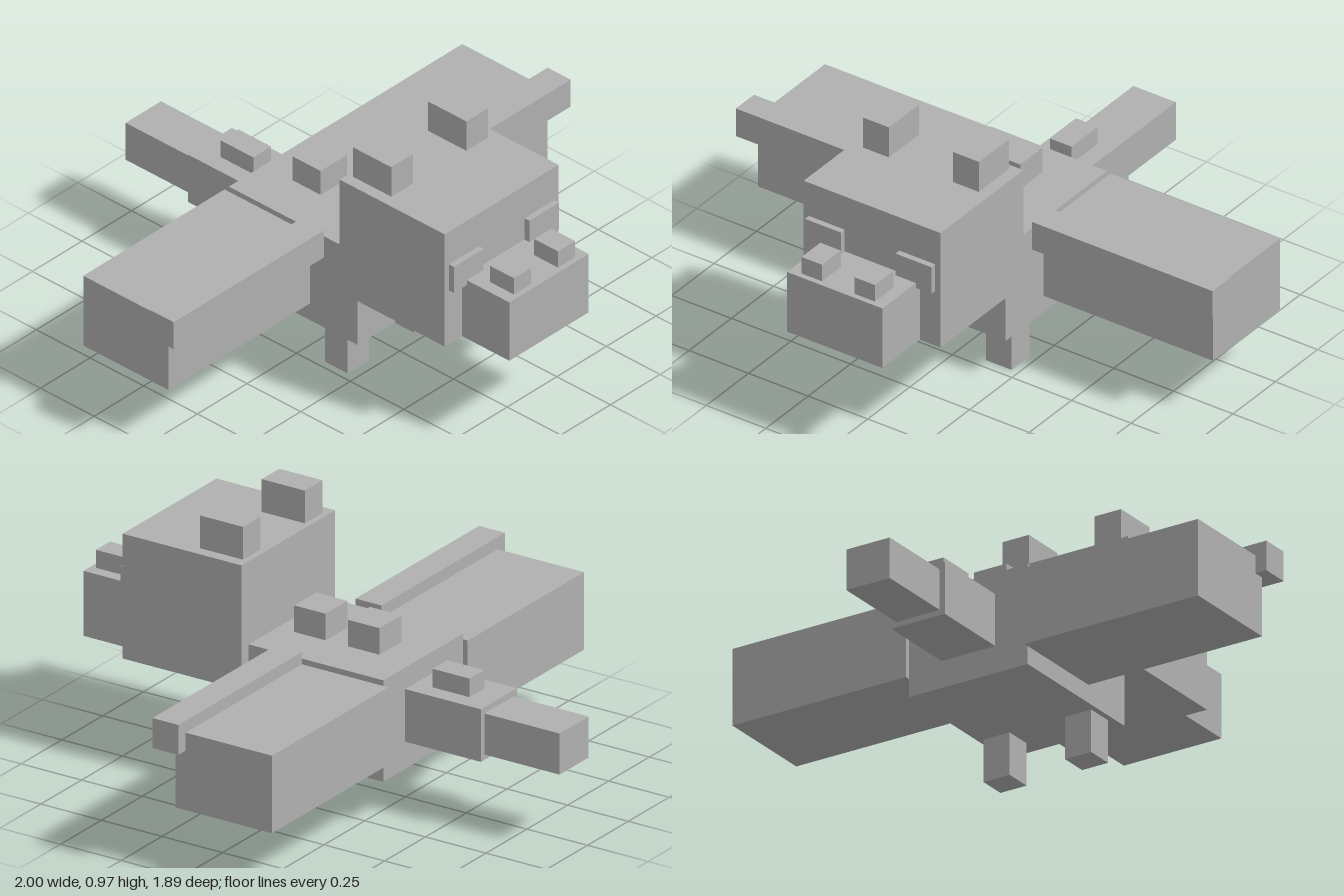
import * as THREE from 'three';

export function createModel() {
  const model = new THREE.Group();
  model.name = 'blockDragon';
  const grey = new THREE.MeshStandardMaterial({ color: 0xb0b0b0 });
  grey.name = 'plainGrey';

  // Box given by its [min, max] extent on each axis
  function block(name, [x0, x1], [y0, y1], [z0, z1]) {
    const mesh = new THREE.Mesh(new THREE.BoxGeometry(x1 - x0, y1 - y0, z1 - z0), grey);
    mesh.position.set((x0 + x1) / 2, (y0 + y1) / 2, (z0 + z1) / 2);
    mesh.name = name;
    model.add(mesh);
  }
  // Box centred on the middle plane
  const middle = (name, half, y, z) => block(name, [-half, half], y, z);
  // Mirrored pair of boxes
  function pair(name, [x0, x1], y, z) {
    block('left' + name, [x0, x1], y, z);
    block('right' + name, [-x1, -x0], y, z);
  }

  // Head
  middle('head', 0.287, [0.383, 0.848], [0.234, 0.724]);
  middle('snout', 0.2, [0.383, 0.625], [0.724, 0.945]);
  pair('Nostril', [0.068, 0.154], [0.625, 0.692], [0.813, 0.924]);
  pair('Eye', [0.115, 0.265], [0.605, 0.713], [0.724, 0.747]);
  pair('Horn', [0.135, 0.243], [0.848, 0.97], [0.257, 0.435]);

  // Body and legs
  middle('body', 0.243, [0.16, 0.538], [-0.322, 0.278]);
  pair('Leg', [0.114, 0.221], [0, 0.16], [0.105, 0.211]);

  // Wings with a spar along the leading edge
  pair('Wing', [0.243, 0.955], [0.228, 0.517], [-0.342, 0.055]);
  pair('WingSpar', [0.243, 1], [0.45, 0.562], [0.014, 0.121]);

  // Back spikes
  for (const z of [0.1, -0.122]) {
    middle('backSpike', 0.067, [0.538, 0.637], [z - 0.065, z + 0.065]);
  }

  // Tail
  middle('tailBase', 0.11, [0.262, 0.458], [-0.635, -0.322]);
  middle('tailTip', 0.089, [0.282, 0.435], [-0.945, -0.635]);
  middle('tailSpike', 0.045, [0.458, 0.527], [-0.544, -0.391]);

  return model;
}
